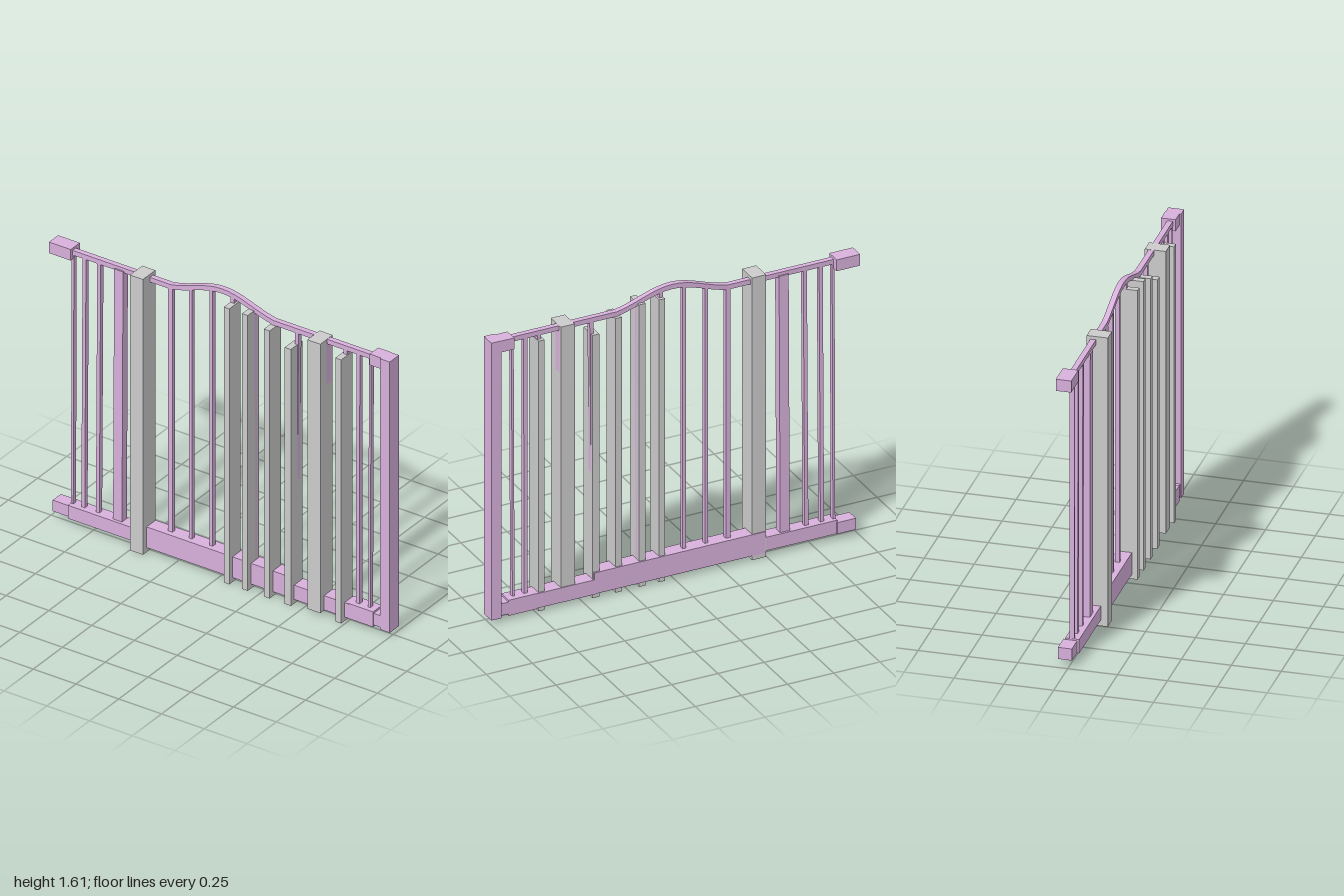
import * as THREE from 'three';

const pink = new THREE.MeshStandardMaterial({ color: 0xd8b0dc, flatShading: true });
const grey = new THREE.MeshStandardMaterial({ color: 0xcccccc, flatShading: true });

export function createModel() {
  const gate = new THREE.Group();
  gate.name = 'safetyGate';

  // Box given by its limits; lean shifts the top sideways
  function block(name, x0, x1, y0, y1, z0, z1, material = pink, lean = 0) {
    const geometry = new THREE.BoxGeometry(x1 - x0, y1 - y0, z1 - z0);
    const p = geometry.attributes.position;
    for (let i = 0; i < p.count; i++) {
      if (p.getY(i) > 0) p.setX(i, p.getX(i) + lean);
    }
    const mesh = new THREE.Mesh(geometry, material);
    mesh.position.set((x0 + x1) / 2, (y0 + y1) / 2, (z0 + z1) / 2);
    mesh.name = name;
    gate.add(mesh);
  }

  // Top rail with a raised arch in the middle
  const rise = (x) => {
    const t = Math.min(Math.abs(x) / 0.3, 1);
    return 0.077 * (0.35 * (1 - t * t) + 0.65 * (0.5 + 0.5 * Math.cos(Math.PI * t)));
  };
  const xs = [-0.88];
  for (let i = 0; i <= 16; i++) xs.push(-0.3 + (0.6 * i) / 16);
  xs.push(0.88);
  const outline = [
    ...xs.map((x) => new THREE.Vector2(x, 1.503 + rise(x))),
    ...[...xs].reverse().map((x) => new THREE.Vector2(x, 1.529 + rise(x))),
  ];
  const railGeometry = new THREE.ExtrudeGeometry(new THREE.Shape(outline), { depth: 0.028, bevelEnabled: false });
  railGeometry.translate(0, 0, -0.027);
  const rail = new THREE.Mesh(railGeometry, pink);
  rail.name = 'topRail';
  gate.add(rail);

  // Top wall mounts and the tall end post
  block('topLeftMount', -1, -0.873, 1.48, 1.542, -0.06, 0.018);
  block('topRightMount', 0.873, 0.95, 1.478, 1.54, -0.058, 0.015);
  block('endPost', 0.94, 0.996, 0.02, 1.54, -0.056, 0.024);

  // Bottom rail in stepped sections
  block('bottomEndMount', -0.98, -0.88, 0.036, 0.098, -0.055, 0.015);
  block('bottomSideRail', -0.885, -0.49, 0.032, 0.106, -0.045, 0.025);
  block('bottomThreshold', -0.49, 0.435, 0.025, 0.141, -0.05, 0.028);
  block('bottomSideRail', 0.43, 0.76, 0.023, 0.103, -0.05, 0.028);
  block('bottomCollar', 0.75, 0.9, 0.021, 0.106, -0.052, 0.026);
  block('bottomEndMount', 0.89, 0.95, 0.03, 0.095, -0.05, 0.02);

  // Thin bars: [x at foot, width, lean]
  const bars = [
    [-0.877, 0.013, 0.004], [-0.813, 0.02, 0.007], [-0.728, 0.02, 0.008],
    [-0.303, 0.024, 0], [-0.186, 0.018, 0], [-0.065, 0.018, 0],
    [0.06, 0.02, 0], [0.178, 0.02, 0], [0.3, 0.02, 0],
    [0.425, 0.02, 0.012], [0.72, 0.02, 0], [0.793, 0.02, 0.002], [0.86, 0.012, 0.005],
  ];
  for (const [x, w, lean] of bars) {
    block('bar', x - w / 2, x + w / 2, 0.09, 1.512 + rise(x), -0.024, 0, pink, lean);
  }

  // Wide stiles either side of the door
  block('stile', -0.632, -0.58, 0.09, 1.512, -0.034, 0.008, pink, 0.006);
  block('stile', 0.56, 0.61, 0.09, 1.512, -0.034, 0.008, pink, 0.006);

  // Grey posts: [x, width, bottom, top]
  const posts = [
    [-0.46, 0.076, 0, 1.546], [0.064, 0.032, 0, 1.547], [0.171, 0.034, 0, 1.546],
    [0.299, 0.034, 0, 1.502], [0.422, 0.036, 0, 1.44], [0.577, 0.076, 0.02, 1.53],
    [0.717, 0.034, 0, 1.48],
  ];
  for (const [x, w, y0, y1] of posts) {
    const wide = w > 0.05;
    block(wide ? 'widePost' : 'narrowPost', x - w / 2, x + w / 2, y0, y1, wide ? -0.046 : -0.042, wide ? 0.06 : 0.056, grey);
  }

  return gate;
}
